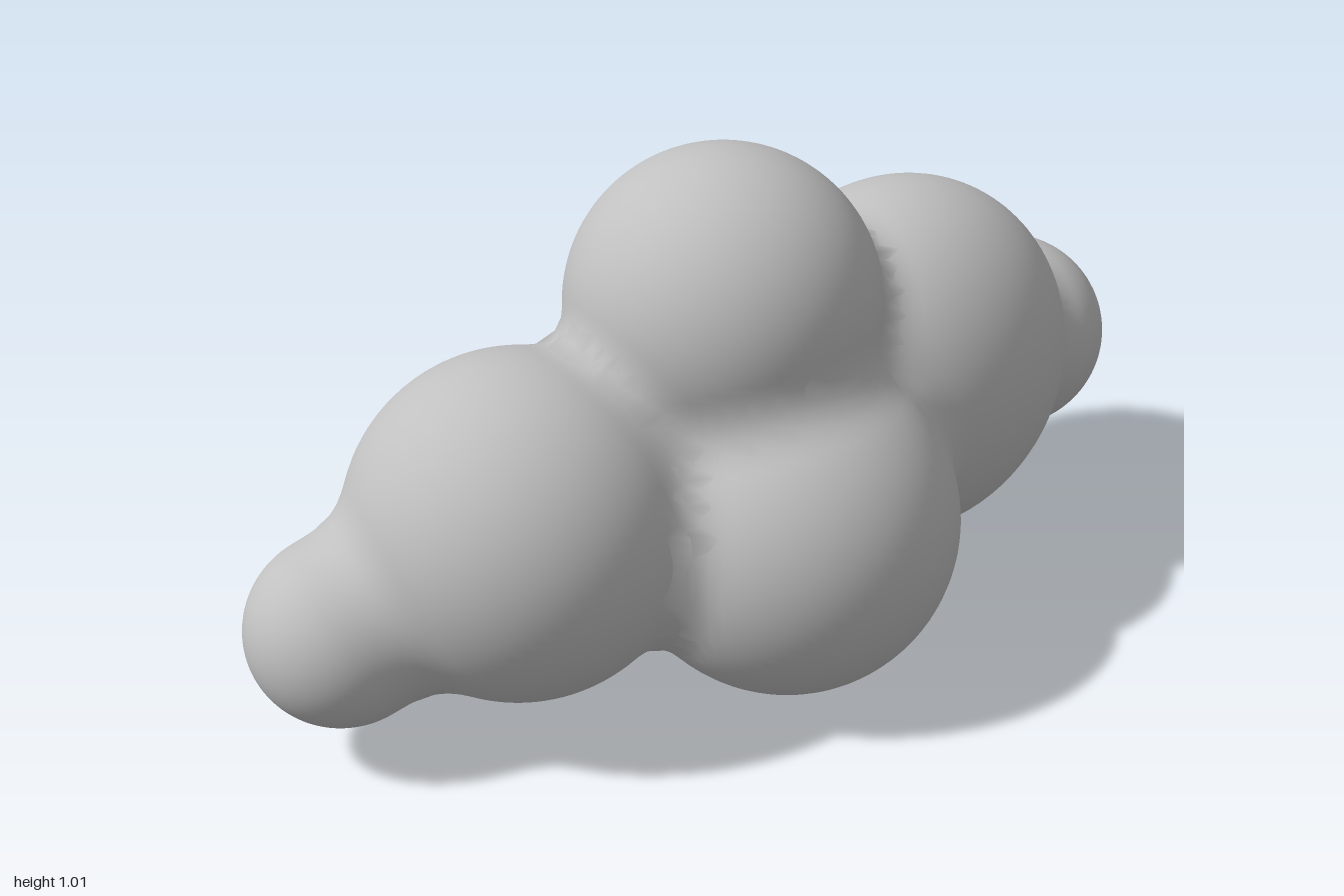
import * as THREE from 'three';

// Lobes: name, centre, radii
const LOBES = [
  ['topLobe', [0.03, 0.72, 0.08], [0.29, 0.29, 0.29]],
  ['leftLobe', [0.175, 0.328, 0.05], [0.325, 0.325, 0.32]],
  ['rightLobe', [-0.175, 0.328, 0.05], [0.325, 0.325, 0.32]],
  ['frontLobe', [0, 0.4, 0.51], [0.315, 0.315, 0.315]],
  ['frontTip', [-0.085, 0.262, 0.828], [0.172, 0.172, 0.172]],
  ['backLobe', [-0.02, 0.457, -0.39], [0.3, 0.367, 0.365]],
  ['backTip', [-0.12, 0.362, -0.793], [0.207, 0.207, 0.207]],
].map(([name, c, r]) => ({ name, centre: new THREE.Vector3(...c), radii: new THREE.Vector3(...r) }));

const BLEND = 0.085;
const q = new THREE.Vector3();

// Approximate distance to one ellipsoid
function lobeDistance(p, { centre, radii }) {
  const k0 = q.subVectors(p, centre).divide(radii).length();
  const k1 = q.divide(radii).length();
  return k1 < 1e-6 ? -radii.x : (k0 * (k0 - 1)) / k1;
}

// Smooth union of all lobes
function field(p) {
  let d = 10;
  for (const lobe of LOBES) {
    const e = lobeDistance(p, lobe);
    const h = Math.max(BLEND - Math.abs(d - e), 0) / BLEND;
    d = Math.min(d, e) - h * h * BLEND * 0.25;
  }
  return d;
}

// Surface direction from the slope of the field
function fieldNormal(p) {
  const e = 0.002;
  const slope = ['x', 'y', 'z'].map((axis) => {
    const a = p.clone(), b = p.clone();
    a[axis] += e;
    b[axis] -= e;
    return field(a) - field(b);
  });
  return new THREE.Vector3(...slope).normalize();
}

// A ball whose skin is pushed out to the blended surface; the part buried
// in its neighbours stops a little beyond its own radius
function lobeGeometry(lobe) {
  const geometry = new THREE.SphereGeometry(1, 80, 54);
  const pos = geometry.attributes.position;
  const normal = geometry.attributes.normal;
  const dir = new THREE.Vector3(), p = new THREE.Vector3();
  const limit = Math.max(...lobe.radii.toArray()) + 0.07;
  for (let i = 0; i < pos.count; i++) {
    dir.fromBufferAttribute(pos, i).normalize();
    let t = Math.min(...lobe.radii.toArray()) * 0.8;
    for (let step = 0; step < 40 && t < limit; step++) {
      const d = field(p.copy(lobe.centre).addScaledVector(dir, t));
      if (Math.abs(d) < 0.0002) break;
      t -= d * 0.9;
    }
    p.copy(lobe.centre).addScaledVector(dir, Math.min(t, limit));
    pos.setXYZ(i, p.x, p.y, p.z);
    const n = fieldNormal(p);
    normal.setXYZ(i, n.x, n.y, n.z);
  }
  return geometry;
}

export function createModel() {
  const group = new THREE.Group();
  group.name = 'blendedLobes';
  const grey = new THREE.MeshStandardMaterial({ color: 0xc0c0c0 });
  grey.name = 'plain grey';
  for (const lobe of LOBES) {
    const mesh = new THREE.Mesh(lobeGeometry(lobe), grey);
    mesh.name = lobe.name;
    group.add(mesh);
  }
  return group;
}
